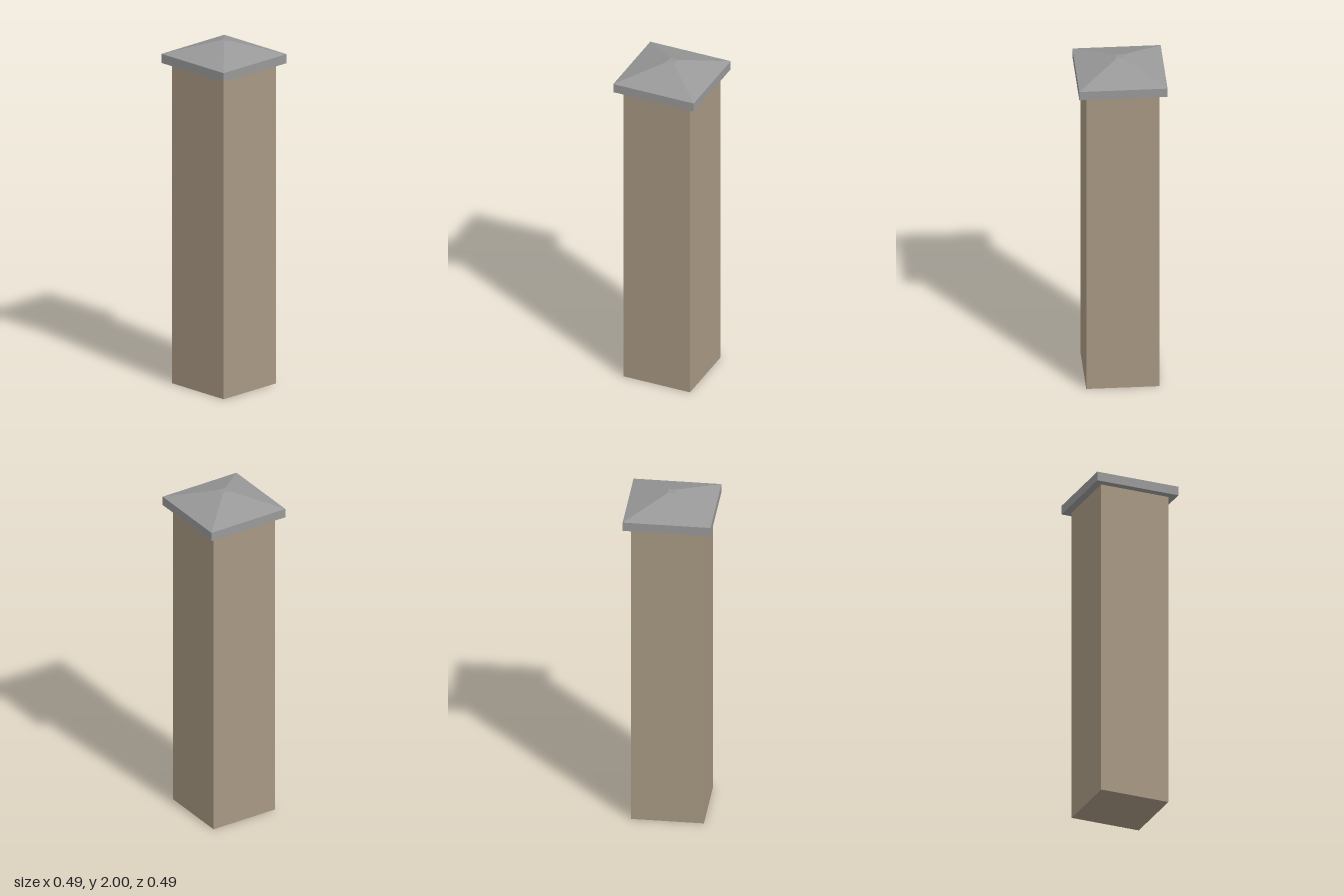
import * as THREE from 'three';

const POST = 0.204, CAP = 0.246, TIP = 0.0225; // half widths
const CAP_BASE = 1.87, CAP_RIM = 1.923, TOP = 2;

export function createModel() {
  const group = new THREE.Group();
  const stone = new THREE.MeshStandardMaterial({ color: 0xa89883 });
  stone.name = 'tan stone';
  const concrete = new THREE.MeshStandardMaterial({ color: 0x999999 });
  concrete.name = 'grey concrete';

  // Square block or tapered frustum between two heights
  function addSquare(name, bottom, top, y0, y1, material) {
    const r = Math.SQRT2;
    let geometry = new THREE.CylinderGeometry(top * r, bottom * r, y1 - y0, 4);
    geometry.rotateY(Math.PI / 4);
    geometry = geometry.toNonIndexed(); // crisp flat faces
    geometry.computeVertexNormals();
    const mesh = new THREE.Mesh(geometry, material);
    mesh.name = name;
    mesh.position.y = (y0 + y1) / 2;
    group.add(mesh);
  }

  addSquare('post', POST, POST, 0, CAP_BASE, stone);
  addSquare('capSlab', CAP, CAP, CAP_BASE, CAP_RIM, concrete);
  addSquare('capRoof', CAP, TIP, CAP_RIM, TOP, concrete);
  return group;
}
